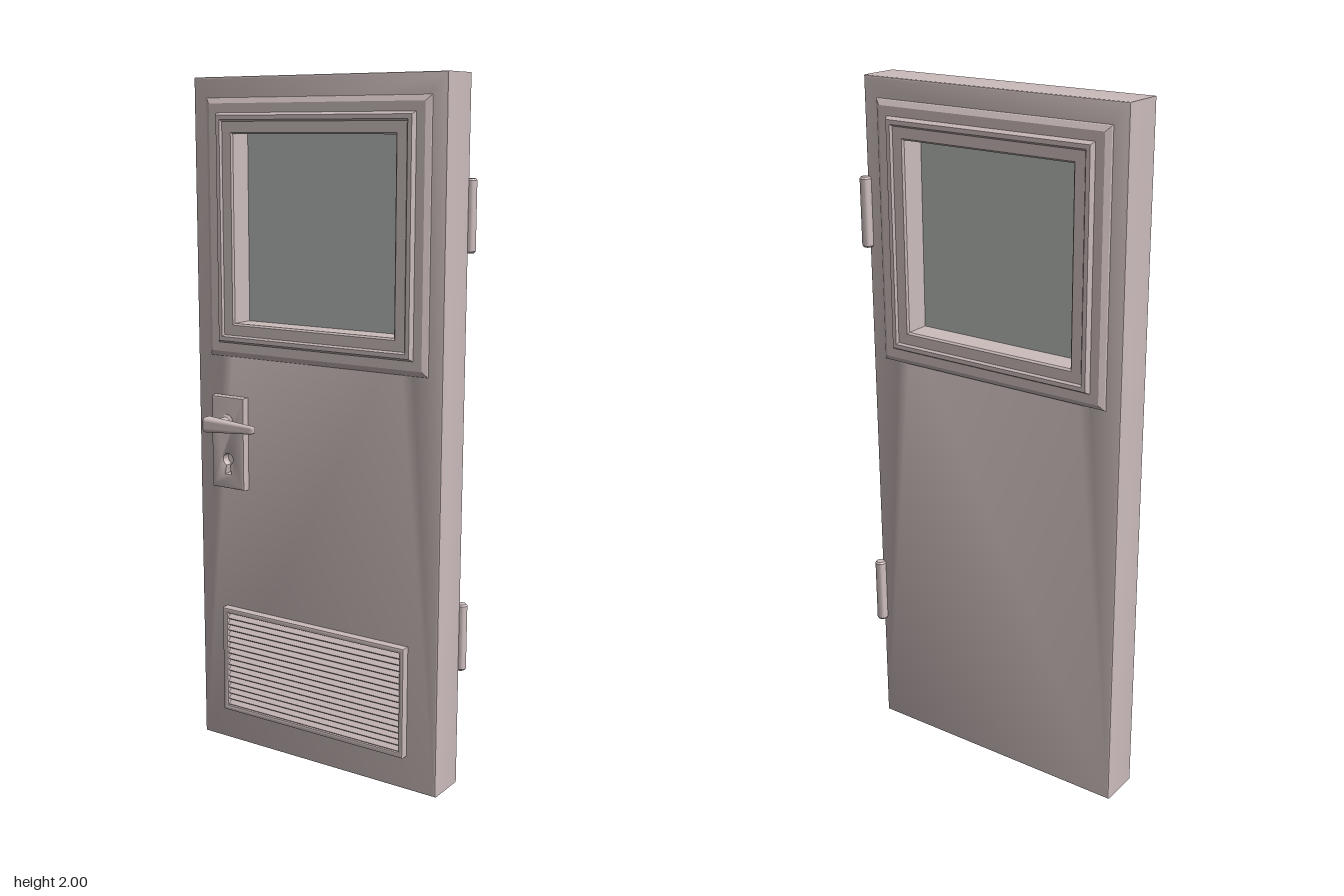
import * as THREE from 'three';
import { RoundedBoxGeometry } from 'three/addons/geometries/RoundedBoxGeometry.js';
import { toCreasedNormals } from 'three/addons/utils/BufferGeometryUtils.js';

const paint = new THREE.MeshStandardMaterial({ color: 0xcdbdbd });
const pane = new THREE.MeshStandardMaterial({ color: 0xb5b9b6 });

function add(parent, name, geometry, x = 0, y = 0, z = 0, material = paint) {
  const mesh = new THREE.Mesh(geometry, material);
  mesh.name = name;
  mesh.position.set(x, y, z);
  parent.add(mesh);
  return mesh;
}

// Rectangle outline from its edges, as a Shape or a hole Path
function rect(Type, x0, x1, y0, y1) {
  return new Type([[x0, y0], [x1, y0], [x1, y1], [x0, y1]].map(p => new THREE.Vector2(...p)));
}

// Plate from z0 to z1 with small bevels outside the given outline
function plate(shape, z0, z1, bevel) {
  const g = new THREE.ExtrudeGeometry(shape, {
    depth: z1 - z0 - 2 * bevel, bevelEnabled: true, bevelSize: bevel,
    bevelThickness: bevel, bevelSegments: 2, curveSegments: 16,
  });
  g.translate(0, 0, z0 + bevel);
  return toCreasedNormals(g, 0.5);
}

// Mitred rectangular moulding: profile points are [half size, z], outside to inside
function moulding(profile) {
  const pos = [];
  const corners = [[1, -1], [1, 1], [-1, 1], [-1, -1]];
  for (let i = 0; i < profile.length - 1; i++) {
    const [ra, za] = profile[i], [rb, zb] = profile[i + 1];
    for (let k = 0; k < 4; k++) {
      const c = corners[k], d = corners[(k + 1) % 4];
      const a = [c[0] * ra, c[1] * ra, za], b = [d[0] * ra, d[1] * ra, za];
      const e = [d[0] * rb, d[1] * rb, zb], f = [c[0] * rb, c[1] * rb, zb];
      pos.push(...a, ...b, ...e, ...a, ...e, ...f);
    }
  }
  const g = new THREE.BufferGeometry();
  g.setAttribute('position', new THREE.Float32BufferAttribute(pos, 3));
  g.computeVertexNormals();
  return g;
}

function buildWindow() {
  const group = new THREE.Group();
  group.name = 'window';
  group.position.set(-0.008, 1.574, 0);
  // One profile wraps from the front face, through the opening, to the back face
  const step = [[0.369, 0], [0.367, 0.004], [0.353, 0.012], [0.327, 0.012], [0.32, 0.024],
    [0.308, 0.024], [0.303, 0.018], [0.273, 0.018], [0.268, 0.013]];
  const front = step.map(([r, d]) => [r, 0.021 + d]);
  const back = step.map(([r, d]) => [r, -0.105 - d * 1.1]).reverse();
  add(group, 'windowFrame', moulding([...front, ...back]));
  add(group, 'glass', new THREE.BoxGeometry(0.54, 0.54, 0.012), 0, 0, -0.042, pane);
  return group;
}

function buildHandle() {
  const group = new THREE.Group();
  group.name = 'handle';
  // Lock plate pierced by a keyhole
  const outline = rect(THREE.Shape, -0.352, -0.248, 0.818, 1.082);
  const key = new THREE.Path();
  key.absarc(-0.3, 0.9, 0.023, -1.05, Math.PI + 1.05, false);
  key.lineTo(-0.317, 0.85);
  key.lineTo(-0.283, 0.85);
  key.closePath();
  outline.holes.push(key);
  add(group, 'lockPlate', plate(outline, 0.018, 0.048, 0.007));

  // Collar and spindle
  const stem = new THREE.LatheGeometry([[0, 0.04], [0.022, 0.04], [0.022, 0.051], [0.015, 0.056],
    [0.015, 0.085], [0.018, 0.096]].map(p => new THREE.Vector2(...p)), 24);
  stem.rotateX(Math.PI / 2);
  add(group, 'spindle', toCreasedNormals(stem, 0.6), -0.3, 1.015, 0);

  // Lever: rounded block tapered toward its tip
  const lever = new RoundedBoxGeometry(0.18, 0.046, 0.038, 4, 0.012);
  const p = lever.attributes.position;
  for (let i = 0; i < p.count; i++) {
    const t = THREE.MathUtils.clamp((p.getX(i) + 0.04) / 0.13, 0, 1);
    p.setY(i, p.getY(i) * (1 - 0.55 * t));
    p.setZ(i, p.getZ(i) * (1 - 0.6 * t));
  }
  lever.computeVertexNormals();
  add(group, 'lever', lever, -0.245, 1.015, 0.109);
  return group;
}

function buildVent() {
  const group = new THREE.Group();
  group.name = 'vent';
  const outline = rect(THREE.Shape, -0.323, 0.303, 0.112, 0.428);
  outline.holes.push(rect(THREE.Path, -0.317, 0.301, 0.114, 0.426));
  const frame = rect(THREE.Shape, -0.325, 0.305, 0.108, 0.43);
  frame.holes.push(rect(THREE.Path, -0.315, 0.299, 0.116, 0.422));
  add(group, 'ventFrame', plate(frame, 0.018, 0.047, 0.004));
  // Sloping louvre slats
  const count = 16;
  for (let i = 0; i < count; i++) {
    const slat = add(group, 'louvre', new THREE.BoxGeometry(0.612, 0.005, 0.026),
      -0.008, 0.13 + i * 0.0186, 0.032);
    slat.rotation.x = 0.7;
  }
  return group;
}

export function createModel() {
  const door = new THREE.Group();
  door.name = 'door';

  // Door leaf with window opening
  const leaf = rect(THREE.Shape, -0.417, 0.4, 0.005, 1.995);
  leaf.holes.push(rect(THREE.Path, -0.285, 0.269, 1.297, 1.851));
  add(door, 'leaf', plate(leaf, -0.105, 0.022, 0.005));

  door.add(buildWindow(), buildHandle(), buildVent());

  // Hinge barrels with rounded ends
  const barrel = new THREE.LatheGeometry([[0, -0.099], [0.012, -0.099], [0.016, -0.094],
    [0.016, 0.094], [0.012, 0.099], [0, 0.099]].map(q => new THREE.Vector2(...q)), 24);
  const hinge = toCreasedNormals(barrel, 0.6);
  for (const y of [0.442, 1.629]) add(door, 'hinge', hinge, 0.404, y, -0.115);

  return door;
}
